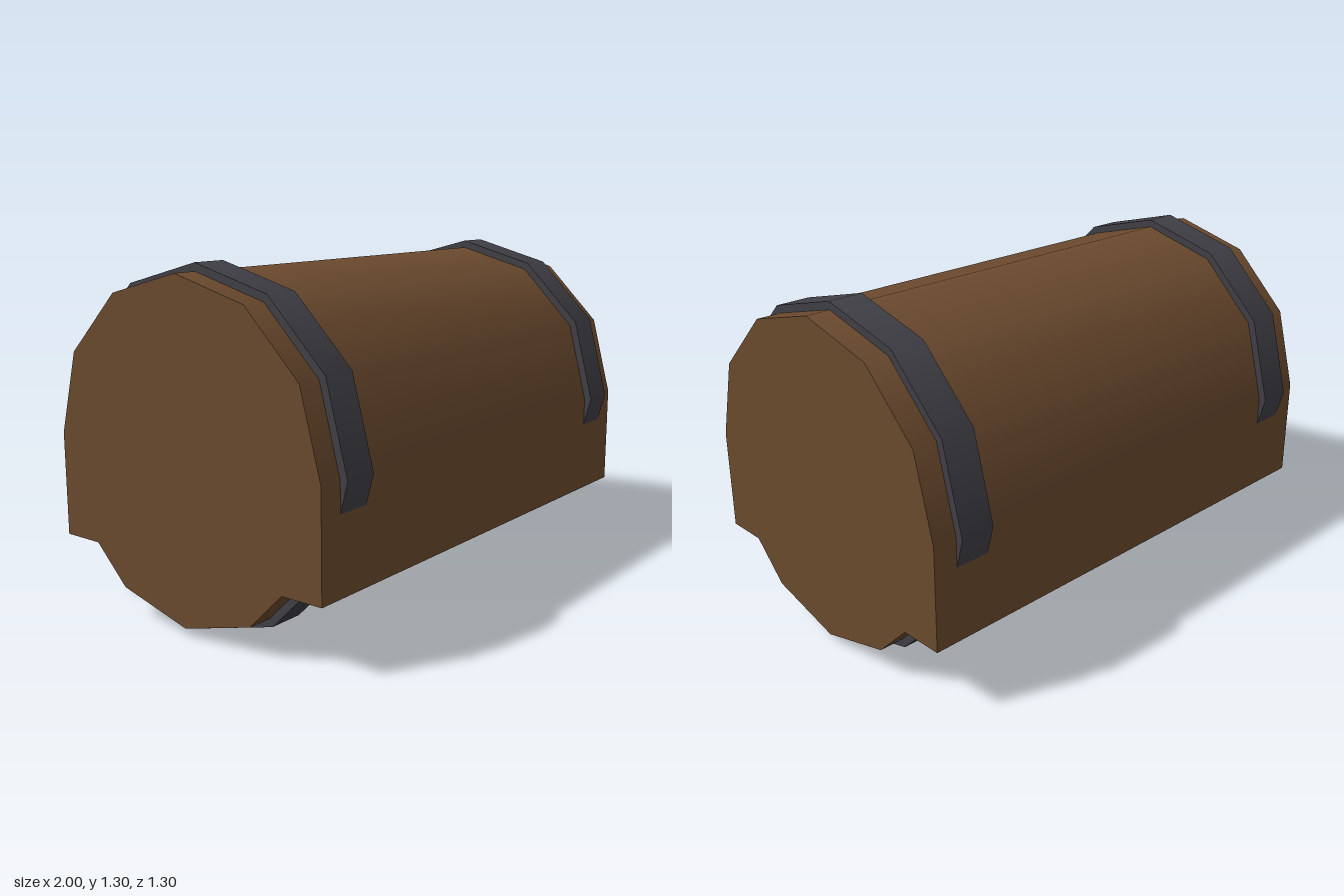
import * as THREE from 'three';

const AXIS_Y = 0.65; // height of the barrel axis

// Twelve-sided cylinder lying along x
function lyingCylinder(name, radius, length, x, material) {
  const geometry = new THREE.CylinderGeometry(radius, radius, length, 12);
  geometry.rotateZ(Math.PI / 2);
  const mesh = new THREE.Mesh(geometry, material);
  mesh.name = name;
  mesh.position.set(x, AXIS_Y, 0);
  return mesh;
}

export function createModel() {
  const wood = new THREE.MeshStandardMaterial({ color: 0x6b4a2e });
  wood.name = 'brown wood';
  const iron = new THREE.MeshStandardMaterial({ color: 0x3f3f46 });
  iron.name = 'dark iron';

  const group = new THREE.Group();
  group.name = 'chest';

  // Box-shaped base, its top meeting the barrel at its widest line
  const bottom = 0.255;
  const base = new THREE.Mesh(new THREE.BoxGeometry(2, AXIS_Y - bottom, 1.24), wood);
  base.name = 'base';
  base.position.y = (AXIS_Y + bottom) / 2;
  group.add(base);

  // Rounded lid, a full barrel that also shows under the base
  group.add(lyingCylinder('lid', 0.62, 2, 0, wood));

  // Iron bands near both ends
  for (const [name, side] of [['leftBand', 1], ['rightBand', -1]]) {
    group.add(lyingCylinder(name, 0.65, 0.135, side * 0.838, iron));
  }
  return group;
}
